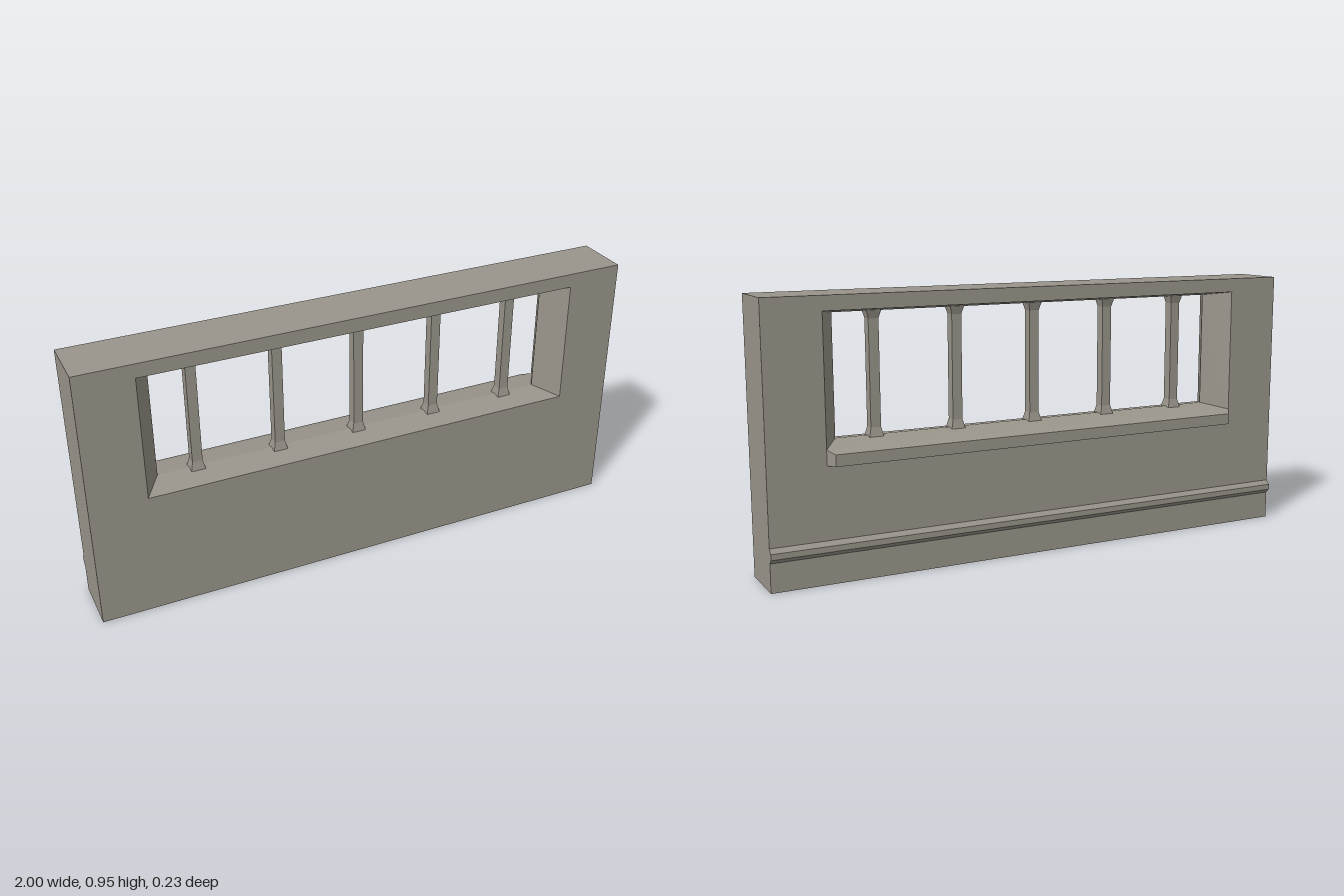
import * as THREE from 'three';

// One rectangular ring of corners at depth z, anticlockwise seen from +z
const ring = (x, y0, y1, z) => [[-x, y0, z], [x, y0, z], [x, y1, z], [-x, y1, z]];

// Skin successive rings with flat quads; optionally cap both ends
function loft(rings, caps) {
  const pos = [];
  const quad = (a, b, c, d) => pos.push(...a, ...b, ...c, ...a, ...c, ...d);
  for (let i = 0; i < rings.length - 1; i++) {
    const a = rings[i], b = rings[i + 1];
    for (let j = 0; j < 4; j++) {
      const k = (j + 1) % 4;
      quad(a[j], a[k], b[k], b[j]);
    }
  }
  if (caps) {
    const a = rings[0], b = rings[rings.length - 1];
    quad(a[0], a[3], a[2], a[1]);
    quad(b[0], b[1], b[2], b[3]);
  }
  const geo = new THREE.BufferGeometry();
  geo.setAttribute('position', new THREE.Float32BufferAttribute(pos, 3));
  geo.computeVertexNormals();
  return geo;
}

export function createModel() {
  const group = new THREE.Group();
  group.name = 'windowWall';
  const stone = new THREE.MeshStandardMaterial({ color: 0x9a958b });
  stone.name = 'warm grey stone';
  const add = (name, geo, x = 0) => {
    const mesh = new THREE.Mesh(geo, stone);
    mesh.name = name;
    mesh.position.x = x;
    group.add(mesh);
  };

  const front = 0.115, back = -0.085, mid = 0.015;

  // Wall with an opening whose reveals taper to a ridge at mid depth
  add('wall', loft([
    ring(1, 0, 0.95, back),
    ring(1, 0, 0.95, front),
    ring(0.8, 0.452, 0.9, front),
    ring(0.737, 0.468, 0.885, mid),
    ring(0.8, 0.452, 0.9, back),
    ring(1, 0, 0.95, back),
  ], false));

  // Sloping sill with slanted ends on the back face
  add('sill', loft([
    ring(0.78, 0.4, 0.44, -0.115),
    ring(0.8, 0.4, 0.452, back),
  ], true));

  // Bevelled moulding along the foot of the back face
  add('moulding', loft([
    ring(1, 0.115, 0.135, -0.1),
    ring(1, 0.1, 0.15, back),
  ], true));

  // Square window bars flared at both ends
  const square = (r, h) => ring(r, -r, r, h);
  const bar = loft([
    square(0.028, 0.455),
    square(0.018, 0.495),
    square(0.018, 0.86),
    square(0.028, 0.898),
  ], true);
  bar.rotateX(-Math.PI / 2);
  bar.translate(0, 0, mid);
  for (let i = -2; i <= 2; i++) add('windowBar', bar, i * 0.3);

  return group;
}
